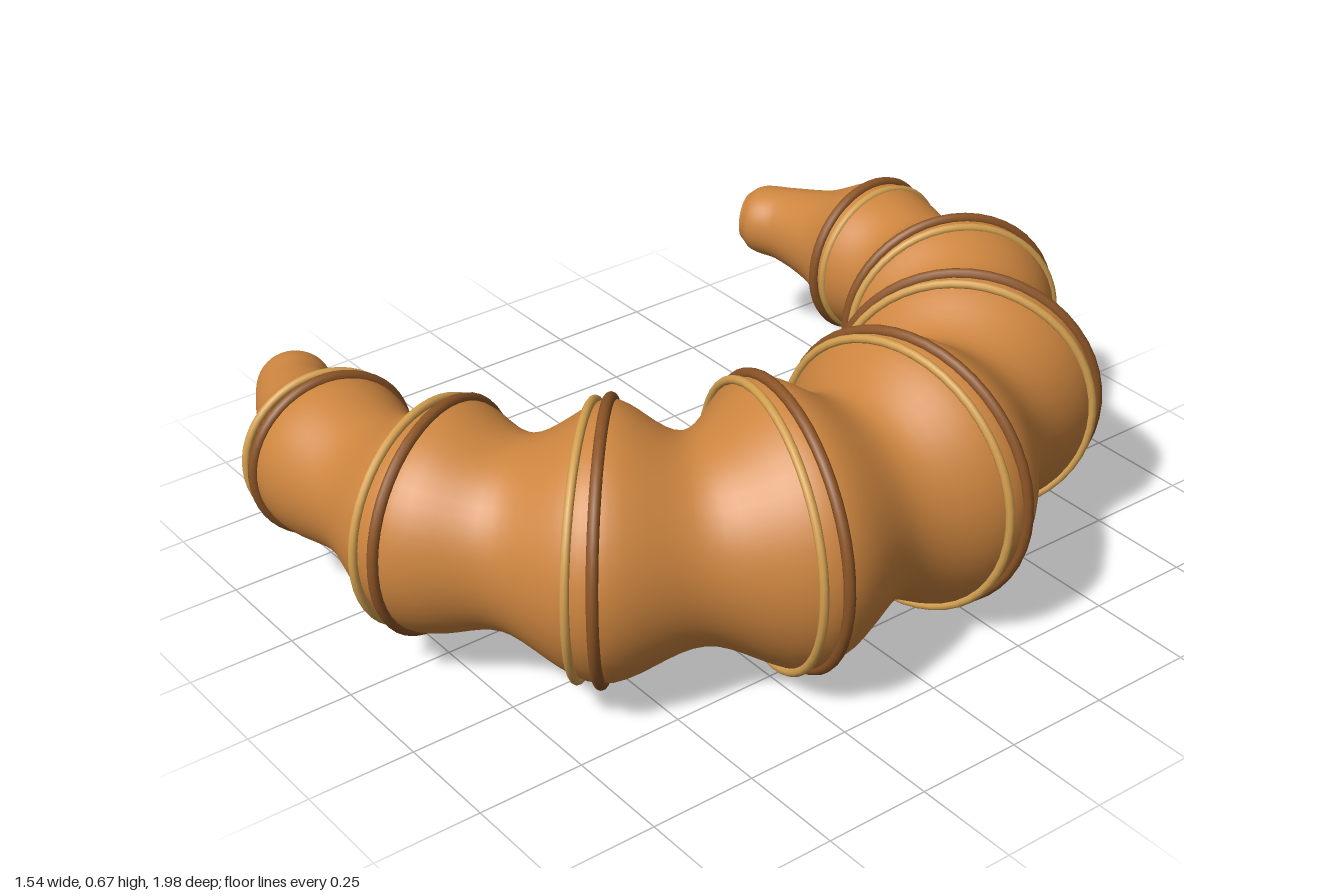
import * as THREE from 'three';

const MID_Y = 0.342;
const UP = new THREE.Vector3(0, 1, 0);
const Z = new THREE.Vector3(0, 0, 1);

// Half of the crescent from the tip to the middle: x, z, radius
const HALF = [
  [-0.742, -0.675, 0.06],
  [-0.715, -0.69, 0.083],
  [-0.64, -0.727, 0.095],
  [-0.53, -0.757, 0.122],
  [-0.39, -0.785, 0.187],
  [-0.2, -0.775, 0.171],
  [-0.027, -0.727, 0.255],
  [0.13, -0.636, 0.213],
  [0.27, -0.51, 0.3],
  [0.375, -0.36, 0.229],
  [0.436, -0.18, 0.322],
  [0.455, 0, 0.241],
];
const STATIONS = [...HALF, ...HALF.slice(0, -1).reverse().map(([x, z, r]) => [x, -z, r])];
const LAST = STATIONS.length - 1;

// One curve carries the centre line in x and z, and the radius in y
const curve = new THREE.CatmullRomCurve3(STATIONS.map(([x, z, r]) => new THREE.Vector3(x, r, z)));

function frameAt(t) {
  const p = curve.getPoint(t);
  const tangent = curve.getTangent(t).setY(0).normalize();
  return {
    centre: new THREE.Vector3(p.x, MID_Y, p.z),
    radius: p.y,
    tangent,
    side: new THREE.Vector3().crossVectors(tangent, UP),
  };
}

function bodyGeometry(rows, sides) {
  const positions = [], index = [];
  for (let i = 0; i <= rows; i++) {
    const { centre, radius, side } = frameAt(i / rows);
    for (let j = 0; j < sides; j++) {
      const a = (j / sides) * Math.PI * 2;
      const v = centre.clone()
        .addScaledVector(side, Math.cos(a) * radius)
        .addScaledVector(UP, Math.sin(a) * radius);
      positions.push(v.x, v.y, v.z);
      if (i < rows) {
        const k = (j + 1) % sides, r0 = i * sides, r1 = r0 + sides;
        index.push(r0 + j, r1 + j, r0 + k, r1 + j, r1 + k, r0 + k);
      }
    }
  }
  const g = new THREE.BufferGeometry();
  g.setAttribute('position', new THREE.Float32BufferAttribute(positions, 3));
  g.setIndex(index);
  g.computeVertexNormals();
  return g;
}

export function createModel() {
  const group = new THREE.Group();
  group.name = 'crescentRoll';
  const crust = new THREE.MeshStandardMaterial({ color: 0xcd853f });
  const dark = new THREE.MeshStandardMaterial({ color: 0x8b5426 });
  const light = new THREE.MeshStandardMaterial({ color: 0xd4a050 });

  const add = (name, geometry, material, position, facing) => {
    const mesh = new THREE.Mesh(geometry, material);
    mesh.name = name;
    if (position) mesh.position.copy(position);
    if (facing) mesh.quaternion.setFromUnitVectors(Z, facing);
    group.add(mesh);
  };

  // Swollen, curved body
  add('body', bodyGeometry(LAST * 8, 48), crust);

  // Flat ends of the two tips
  for (const t of [0, 1]) {
    const { centre, radius, tangent } = frameAt(t);
    const outward = tangent.clone().multiplyScalar(t ? 1 : -1);
    add('tipCap', new THREE.CircleGeometry(radius, 48), crust, centre, outward);
  }

  // A dark ridge on each swelling, with a thinner light ridge just after it
  for (const s of [4, 6, 8, 10, 12, 14, 16, 18]) {
    const edge = frameAt(s / LAST);
    const major = edge.radius + 0.002;
    add('darkRidge', new THREE.TorusGeometry(major, 0.013, 10, 48), dark, edge.centre, edge.tangent);
    const next = frameAt((s + 0.22) / LAST);
    add('lightRidge', new THREE.TorusGeometry(major * 0.982, 0.01, 10, 48), light, next.centre, next.tangent);
  }
  return group;
}
